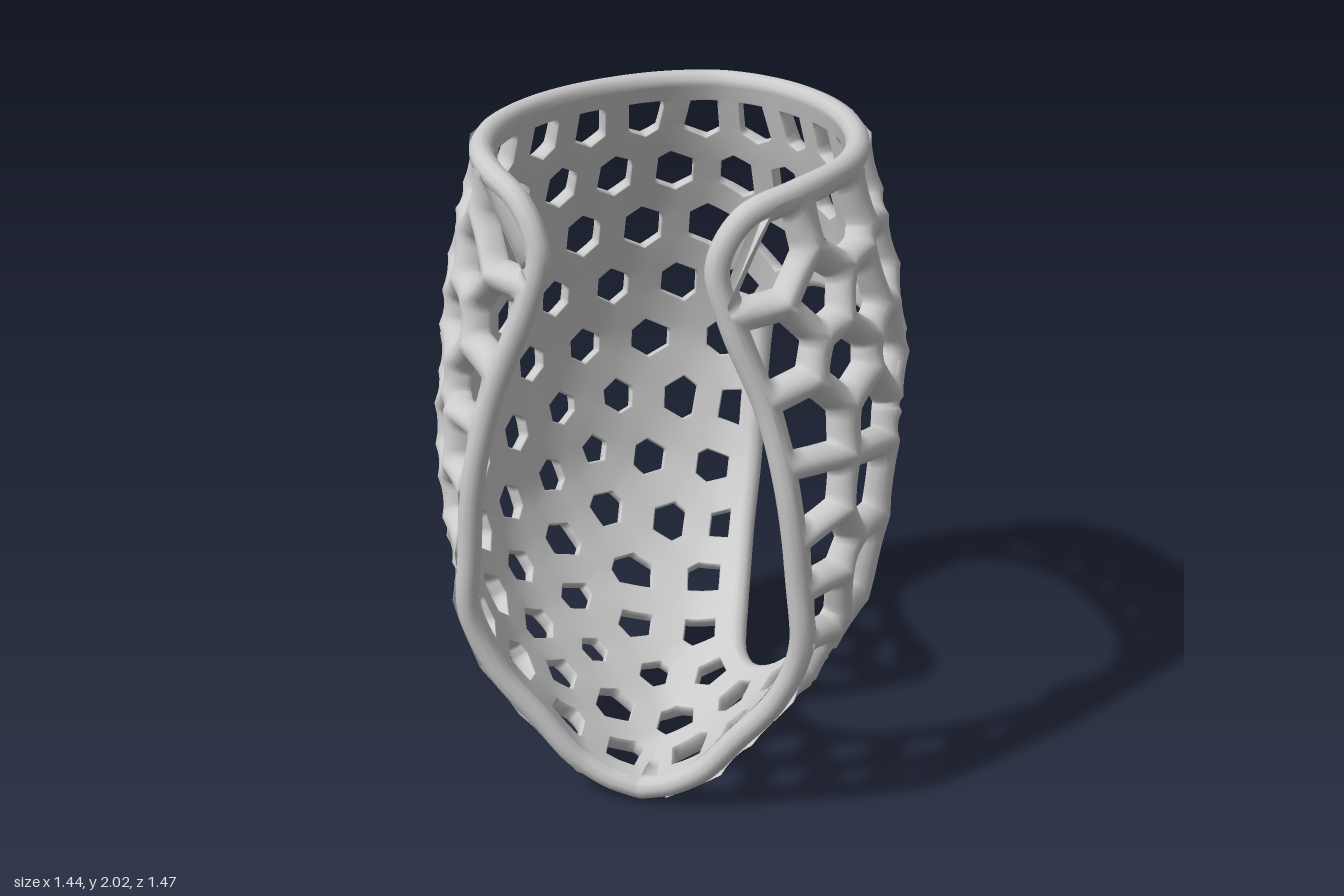
import * as THREE from 'three';
import { mergeVertices } from 'three/addons/utils/BufferGeometryUtils.js';

const V = (x, y, z) => new THREE.Vector3(x, y, z);

// Horizontal sections: y, half width, back z, centre z, front edge z, front edge x
const SECTIONS = [
  [0, 0.01, 0.68, 0.72, 0.8, 0.005], [0.035, 0.035, 0.58, 0.71, 0.78, 0.02],
  [0.06, 0.1, 0.4, 0.68, 0.75, 0.08], [0.12, 0.19, 0.19, 0.6, 0.68, 0.17],
  [0.25, 0.33, -0.12, 0.43, 0.62, 0.3], [0.4, 0.47, -0.36, 0.28, 0.64, 0.42],
  [0.6, 0.59, -0.53, 0.19, 0.66, 0.5], [0.8, 0.64, -0.62, 0.17, 0.675, 0.49],
  [1.1, 0.67, -0.69, 0.16, 0.685, 0.46], [1.5, 0.64, -0.635, 0.16, 0.69, 0.33],
  [1.75, 0.585, -0.56, 0.18, 0.695, 0.25], [2.02, 0.525, -0.48, 0.2, 0.695, 0.25]];
const BACK_POWER = 1.75; // below 2: the back half tapers like an egg

// Smooth interpolation of the section table
function section(y) {
  const S = SECTIONS, n = S.length;
  y = THREE.MathUtils.clamp(y, S[0][0], S[n - 1][0]);
  let i = 0;
  while (i < n - 2 && y > S[i + 1][0]) i++;
  const h = S[i + 1][0] - S[i][0], t = (y - S[i][0]) / h;
  const slope = (k, c) => {
    const a = Math.max(k - 1, 0), b = Math.min(k + 1, n - 1);
    return (S[b][c] - S[a][c]) / (S[b][0] - S[a][0]);
  };
  const val = c => {
    const d = S[i + 1][c] - S[i][c], m0 = slope(i, c) * h, m1 = slope(i + 1, c) * h;
    return S[i][c] + t * m0 + t * t * (3 * d - 2 * m0 - m1) + t * t * t * (m0 + m1 - 2 * d);
  };
  const w = val(1), zc = val(3), q = Math.min(val(5) / w, 0.97);
  return { w, zc, b: zc - val(2), c: (val(4) - zc) / Math.sqrt(1 - q * q) };
}
const signedPow = (v, e) => Math.sign(v) * Math.abs(v) ** e;
function surface(phi, y) {
  const s = section(y), k = Math.cos(phi), e = k > 0 ? 2 / BACK_POWER : 1;
  return V(s.w * signedPow(Math.sin(phi), e), y, s.zc - (k > 0 ? s.b : s.c) * signedPow(k, e));
}
function angleAt(p) {
  const s = section(p.y), d = s.zc - p.z, e = d > 0 ? BACK_POWER / 2 : 1;
  return Math.atan2(signedPow(p.x / s.w, e), signedPow(d / (d > 0 ? s.b : s.c), e));
}

// Level function, its gradient, and projection onto the shell
function level(x, y, z) {
  const s = section(y), d = z - s.zc, e = d < 0 ? BACK_POWER : 2;
  return (Math.abs(x / s.w) ** e + Math.abs(d / (d < 0 ? s.b : s.c)) ** e) ** (1 / e) - 1;
}
function gradient({ x, y, z }) {
  const e = 1e-3;
  return V(level(x + e, y, z) - level(x - e, y, z), level(x, y + e, z) - level(x, y - e, z),
    level(x, y, z + e) - level(x, y, z - e)).divideScalar(2 * e);
}
function project(p) {
  const r = p.clone();
  for (let i = 0; i < 6; i++) {
    const g = gradient(r);
    r.addScaledVector(g, -level(r.x, r.y, r.z) / Math.max(g.lengthSq(), 1e-6));
  }
  return r;
}

// Closed edge curve lying on the shell, with its outline in (angle, height)
function edgeLoop(corners, count) {
  const c = new THREE.CatmullRomCurve3(corners.map(a => V(...a)), true, 'centripetal');
  const points = c.getSpacedPoints(count).slice(0, count).map(project);
  return { points, outline: points.map(p => [angleAt(p), p.y]) };
}
function inside(phi, y, poly) {
  let r = false;
  for (let i = 0, j = poly.length - 1; i < poly.length; j = i++) {
    const [a, b] = poly[i], [c, d] = poly[j];
    if (b > y !== d > y && phi < (c - a) * (y - b) / (d - b) + a) r = !r;
  }
  return r;
}
const onWall = (phi, y, [outer, opening]) =>
  inside(phi, y, outer.outline) && !inside(phi, y, opening.outline);
const nearestEdge = (p, loops) => loops.flatMap(l => l.points)
  .reduce((a, e) => (e.distanceToSquared(p) < a.distanceToSquared(p) ? e : a));

// Cell centres: staggered rows first, then a fine grid that fills what is left
function scatter(loops) {
  const seeds = [];
  const add = (phi, y, gap) => {
    if (!onWall(phi, y, loops)) return;
    const p = surface(phi, y);
    if (nearestEdge(p, loops).distanceTo(p) < 0.06) return;
    if (!seeds.some(s => s.distanceTo(p) < gap)) seeds.push(p);
  };
  let run = 0.2, row = 0;
  for (let y = 1.85; y > 0.06; y -= 0.005) {
    run += surface(0, y).distanceTo(surface(0, y + 0.005));
    if (run < 0.2) continue;
    run = 0;
    let arc = row++ % 2 ? 0.21 : 0.11;
    for (let phi = 0; phi < 3; phi += 0.01) {
      if (arc >= 0.21) { arc = 0; add(phi, y, 0.16); add(-phi, y, 0.16); }
      arc += surface(phi, y).distanceTo(surface(phi + 0.01, y));
    }
  }
  for (let y = 1.85; y > 0.06; y -= 0.03)
    for (let phi = 0; phi < 3; phi += 0.05) { add(phi, y, 0.185); add(-phi, y, 0.185); }
  return seeds;
}

// Cell outlines around each centre, with mirrored centres closing the edges
function cells(seeds, loops) {
  const all = [...seeds];
  for (const p of seeds) for (const { points } of loops) {
    const d = points.map(q => q.distanceTo(p)), n = points.length;
    points.forEach((q, i) => {
      if (d[i] < 0.3 && d[i] <= d[(i + n - 1) % n] && d[i] < d[(i + 1) % n])
        all.push(q.clone().multiplyScalar(2).sub(p));
    });
  }
  return seeds.map(p => {
    const n = gradient(p).normalize();
    const u = V(0, 1, -0.5).cross(n).normalize(), v = n.clone().cross(u);
    let poly = [[-0.3, -0.3], [0.3, -0.3], [0.3, 0.3], [-0.3, 0.3]];
    for (const q of all) {
      const d = q.clone().sub(p), len = d.length();
      if (len < 1e-6 || len > 0.6) continue;
      const a = d.dot(u), b = d.dot(v), lim = (a * a + b * b) / 2, out = [];
      if (lim < 1e-5) continue;
      poly.forEach((A, i) => {
        const B = poly[(i + 1) % poly.length];
        const fa = A[0] * a + A[1] * b - lim, fb = B[0] * a + B[1] * b - lim;
        if (fa <= 0) out.push(A);
        if (fa < 0 !== fb < 0) {
          const t = fa / (fa - fb);
          out.push([A[0] + (B[0] - A[0]) * t, A[1] + (B[1] - A[1]) * t]);
        }
      });
      poly = out;
    }
    return poly.map(([a, b]) => {
      const flat = p.clone().addScaledVector(u, a).addScaledVector(v, b), q = project(flat);
      return onWall(angleAt(q), q.y, loops) ? q : nearestEdge(flat, loops).clone();
    });
  });
}
const mean = pts => pts.reduce((s, p) => s.add(p), V(0, 0, 0)).divideScalar(pts.length);

// Join matching corners of neighbouring cells and pull edge corners onto the rims
function weld(polys, loops) {
  const groups = [];
  const ids = polys.map(poly => poly.map(p => {
    let g = groups.findIndex(k => k[0].distanceTo(p) < 0.045);
    if (g < 0) g = groups.push([]) - 1;
    groups[g].push(p);
    return g;
  }));
  const corners = groups.map(g => {
    const m = mean(g), near = nearestEdge(m, loops);
    return near.distanceTo(m) < 0.07 ? near : m;
  });
  return ids.map(l => l.filter((g, i) => g !== l[(i + 1) % l.length]).map(g => corners[g]))
    .filter(l => l.length > 2);
}

// Strut profile from cell border to hole and back inside: [fraction, height]
const PROFILE = [[0, 0.042], [0.25, 0.04], [0.5, 0.034], [0.75, 0.022], [0.92, 0.006],
  [1, -0.014], [0.98, -0.028], [0.9, -0.03], [0, -0.03]];
function shellGeometry(polys) {
  const pos = [], index = [], SUB = 4;
  for (const poly of polys) {
    const c = mean(poly), n = poly.length * SUB, base = pos.length / 3;
    const radius = poly.reduce((s, p) => s + p.distanceTo(c), 0) / poly.length;
    const inset = c.y < 1.3 && c.z < 0.25 ? 0.064 : 0.052;
    const shrink = Math.min(inset / (radius * 0.87), 0.8);
    for (const [t, h] of PROFILE) for (let k = 0; k < n; k++) {
      const f = (k % SUB) / SUB, i = Math.floor(k / SUB);
      const p = poly[i].clone().lerp(poly[(i + 1) % poly.length], f);
      const q = project(p.lerp(c, t * shrink));
      const bump = h > 0 ? 0.01 * (2 * f - 1) ** 2 * (1 - t) : 0;
      q.addScaledVector(gradient(q).normalize(), h + bump);
      pos.push(q.x, q.y, q.z);
    }
    for (let r = 0; r < PROFILE.length - 1; r++) for (let k = 0; k < n; k++) {
      const a = base + r * n + k, b = base + r * n + (k + 1) % n;
      index.push(a, b, b + n, a, b + n, a + n);
    }
  }
  const g = new THREE.BufferGeometry();
  g.setAttribute('position', new THREE.Float32BufferAttribute(pos, 3));
  g.setIndex(index);
  const m = mergeVertices(g, 1e-4);
  m.computeVertexNormals();
  return m;
}

// Round rim, set slightly outward so the inside stays flush
function rimGeometry({ points }) {
  const path = points.map(p => p.clone().addScaledVector(gradient(p).normalize(), 0.006));
  return new THREE.TubeGeometry(new THREE.CatmullRomCurve3(path, true), path.length, 0.036, 10, true);
}

export function createModel() {
  const group = new THREE.Group();
  const material = new THREE.MeshStandardMaterial({ color: 0xcccccc, side: THREE.DoubleSide });
  const add = (name, geometry) => {
    const m = new THREE.Mesh(geometry, material);
    m.name = name;
    group.add(m);
  };

  // Top rim and front edge, one half mirrored
  const half = [[0.26, 1.955, -0.36], [0.48, 1.95, 0], [0.53, 1.94, 0.3], [0.44, 1.925, 0.54],
    [0.32, 1.88, 0.65], [0.255, 1.75, 0.695], [0.29, 1.58, 0.69], [0.41, 1.3, 0.69], [0.46, 1, 0.68],
    [0.49, 0.7, 0.67], [0.47, 0.5, 0.65], [0.3, 0.25, 0.62], [0.165, 0.12, 0.605], [0.08, 0.06, 0.6]];
  const outer = edgeLoop([[0, 1.955, -0.49], ...half, [0, 0.036, 0.595],
    ...half.map(([x, y, z]) => [-x, y, z]).reverse()], 320);

  // Large side opening
  const opening = edgeLoop([[0.13, 1.2, -0.65], [0.26, 1.31, -0.54], [0.5, 1.33, -0.25],
    [0.63, 1.325, 0.05], [0.66, 1.24, 0.22], [0.665, 1, 0.275], [0.62, 0.7, 0.285], [0.52, 0.45, 0.285],
    [0.45, 0.35, 0.28], [0.38, 0.28, 0.255], [0.27, 0.21, 0.17], [0.19, 0.2, 0.04], [0.14, 0.28, -0.18],
    [0.1, 0.45, -0.4], [0.09, 0.65, -0.54], [0.09, 0.9, -0.64], [0.1, 1.1, -0.67]], 180);
  const loops = [outer, opening];

  // Honeycomb wall, with the cells evened out step by step
  let seeds = scatter(loops);
  for (let i = 0; i < 20; i++)
    seeds = cells(seeds, loops).map((c, k) => (c.length > 2 ? project(mean(c)) : seeds[k]));
  add('honeycombShell', shellGeometry(weld(cells(seeds, loops), loops)));
  add('outerRim', rimGeometry(outer));
  add('openingRim', rimGeometry(opening));
  return group;
}
